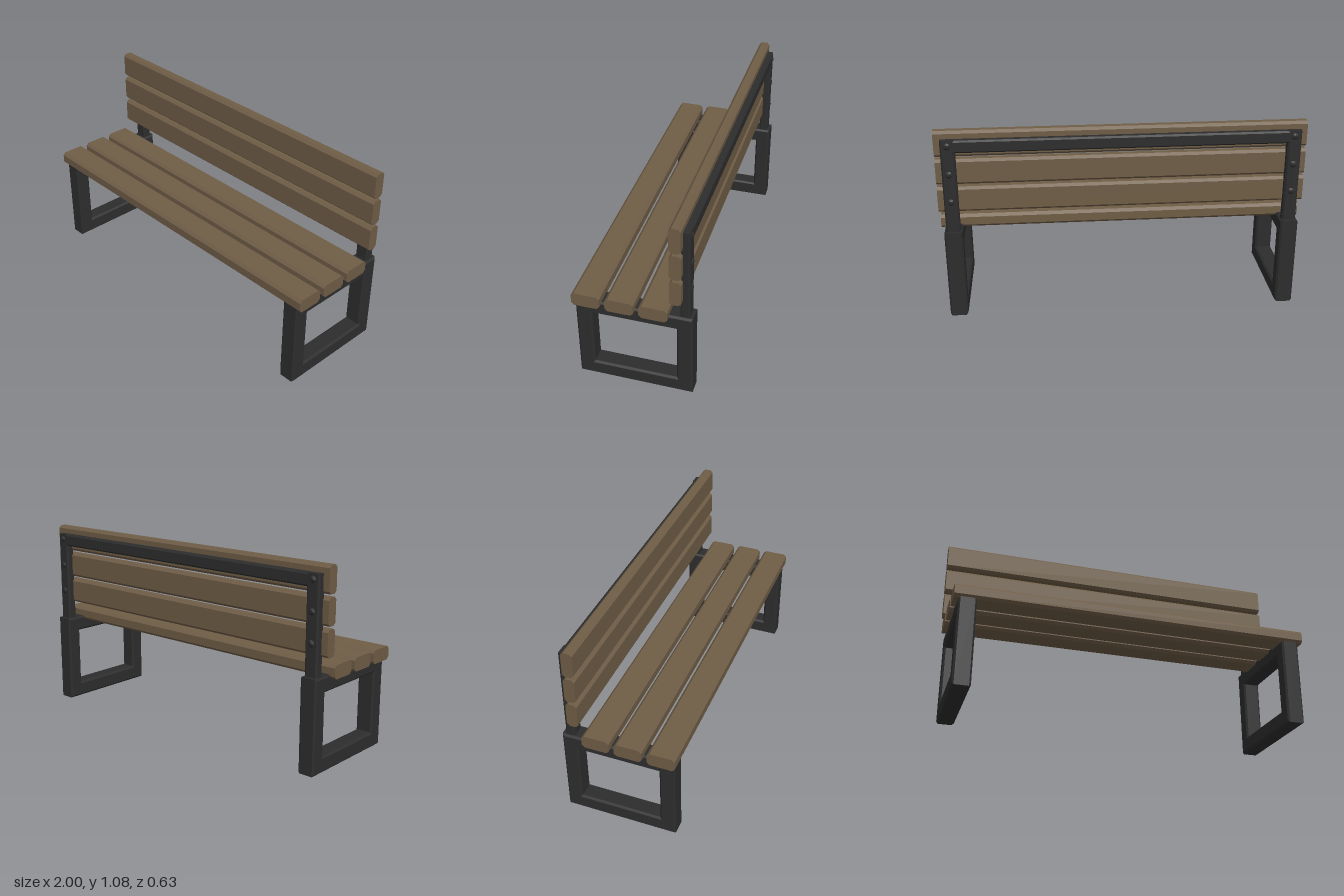
import * as THREE from 'three';

const wood = new THREE.MeshStandardMaterial({ color: 0x6f5d46 });
wood.name = 'wood';
const metal = new THREE.MeshStandardMaterial({ color: 0x2d2d2d });
metal.name = 'darkMetal';

// Rectangle outline with cut corners
function outline(w, h, c) {
  const x = w / 2, y = h / 2;
  return new THREE.Shape([
    [-x + c, -y], [x - c, -y], [x, -y + c], [x, y - c],
    [x - c, y], [-x + c, y], [-x, y - c], [-x, -y + c],
  ].map(([a, b]) => new THREE.Vector2(a, b)));
}

// Bar with chamfered long edges running along x
function barX(length, z0, z1, y0, y1, chamfer) {
  const g = new THREE.ExtrudeGeometry(outline(z1 - z0, y1 - y0, chamfer), { depth: length, bevelEnabled: false });
  g.translate(0, 0, -length / 2);
  g.rotateY(Math.PI / 2);
  g.translate(0, (y0 + y1) / 2, (z0 + z1) / 2);
  return g;
}

// Rectangular leg loop with bevelled edges
function legGeometry(width) {
  const b = 0.01;
  const rect = (path, z0, z1, y0, y1) => path.moveTo(-z1, y0).lineTo(-z0, y0).lineTo(-z0, y1).lineTo(-z1, y1).closePath();
  const shape = new THREE.Shape();
  rect(shape, -0.312, 0.305, 0, 0.512);
  const hole = new THREE.Path();
  rect(hole, -0.228, 0.22, 0.088, 0.427);
  shape.holes.push(hole);
  const g = new THREE.ExtrudeGeometry(shape, {
    depth: width - 2 * b, bevelEnabled: true, bevelThickness: b, bevelSize: b, bevelOffset: -b, bevelSegments: 1,
  });
  g.translate(0, 0, -(width - 2 * b) / 2);
  g.rotateY(Math.PI / 2);
  return g;
}

export function createModel() {
  const bench = new THREE.Group();
  bench.name = 'bench';
  const add = (name, geometry, material, x = 0, y = 0, z = 0) => {
    const mesh = new THREE.Mesh(geometry, material);
    mesh.name = name;
    mesh.position.set(x, y, z);
    bench.add(mesh);
  };

  // Seat and backrest slats
  for (let i = 0; i < 3; i++) {
    const front = 0.315 - i * 0.1775;
    add('seatSlat' + (i + 1), barX(2, front - 0.149, front, 0.488, 0.563, 0.015), wood);
    const low = 0.613 + i * 0.159;
    add('backSlat' + (i + 1), barX(2, -0.26, -0.2, low, low + 0.144, 0.014), wood);
  }

  // Leg loops, uprights and bolts on both sides
  const leg = legGeometry(0.098);
  const upright = new THREE.ExtrudeGeometry(outline(0.076, 0.051, 0.009), { depth: 0.533, bevelEnabled: false });
  upright.rotateX(-Math.PI / 2);
  const bolt = new THREE.CylinderGeometry(0.009, 0.022, 0.01, 8).toNonIndexed();
  bolt.rotateX(-Math.PI / 2);
  bolt.computeVertexNormals();
  for (const [side, s] of [['left', 1], ['right', -1]]) {
    add(side + 'Leg', leg, metal, s * 0.926);
    add(side + 'Upright', upright, metal, s * 0.926, 0.5, -0.2695);
    for (let i = 0; i < 3; i++) add(side + 'Bolt' + (i + 1), bolt, metal, s * 0.926, 0.685 + i * 0.159, -0.298);
  }

  // Rail joining the uprights behind the top slat
  add('topRail', barX(1.8, -0.295, -0.245, 0.963, 1.033, 0.009), metal);
  return bench;
}
